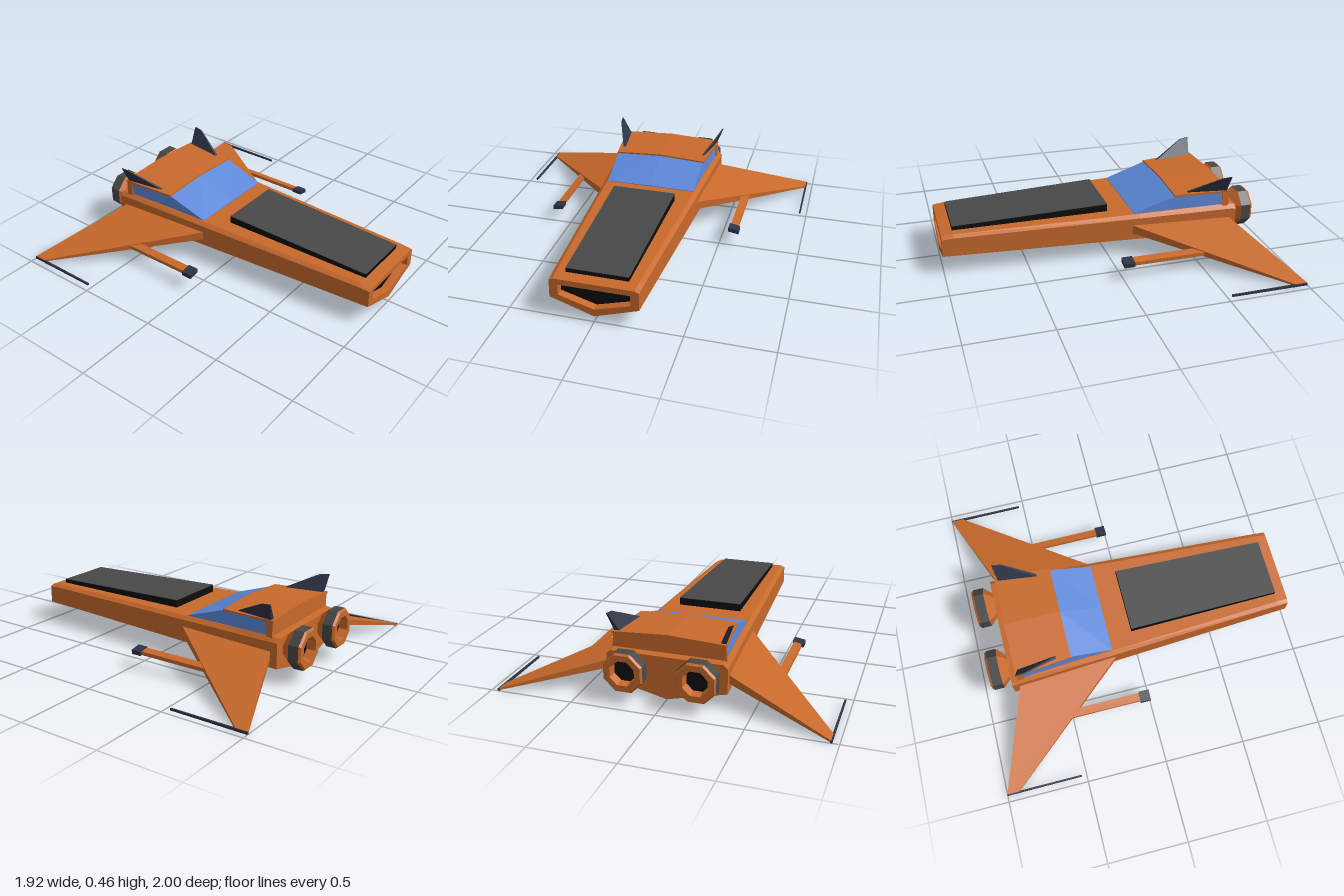
import * as THREE from 'three';

const mat = (name, color, side = THREE.FrontSide) => {
  const m = new THREE.MeshStandardMaterial({ color, side });
  m.name = name;
  return m;
};

export function createModel() {
  const orange = mat('orange paint', 0xc8692b);
  const grey = mat('dark grey', 0x484848);
  const black = mat('black', 0x0d0d0d);
  const blue = mat('blue glass', 0x5b87d8);
  const navy = mat('navy metal', 0x2e3446);

  const model = new THREE.Group();
  model.name = 'spaceship';

  const add = (name, geometry, material, parent = model) => {
    const mesh = new THREE.Mesh(geometry, material);
    mesh.name = name;
    parent.add(mesh);
    return mesh;
  };

  // flat-shaded geometry from a list of triangles
  const fromTris = (tris) => {
    const g = new THREE.BufferGeometry();
    g.setAttribute('position', new THREE.Float32BufferAttribute(tris.flat(2), 3));
    g.computeVertexNormals();
    return g;
  };
  // skin between rings of points
  const skin = (rings, closed) => {
    const tris = [];
    for (let i = 0; i < rings.length - 1; i++) {
      const p = rings[i], q = rings[i + 1], n = p.length;
      for (let j = 0; j < (closed ? n : n - 1); j++) {
        const k = (j + 1) % n;
        tris.push([p[j], p[k], q[k]], [p[j], q[k], q[j]]);
      }
    }
    return tris;
  };
  const fan = (ring) => ring.slice(2).map((p, i) => [ring[0], ring[i + 1], p]);
  // closed solid through rings, turned outward by its signed volume
  const solid = (rings) => {
    const tris = [...skin(rings, true), ...fan(rings[0]).map((t) => [t[2], t[1], t[0]]), ...fan(rings.at(-1))];
    const o = new THREE.Vector3(...rings[0][0]);
    let volume = 0;
    for (const t of tris) {
      const [a, b, c] = t.map((p) => new THREE.Vector3(...p).sub(o));
      volume += a.dot(b.cross(c));
    }
    return fromTris(volume < 0 ? tris.map((t) => [t[2], t[1], t[0]]) : tris);
  };
  const mirrorX = (rings, s) => rings.map((r) => r.map(([x, y, z]) => [x * s, y, z]));

  // hull: z, half width, keel y, side bottom y, shoulder y, deck y
  const stations = [
    [1, 0.255, 0.035, 0.12, 0.228, 0.24],
    [0.93, 0.259, 0.034, 0.119, 0.233, 0.248],
    [-0.2, 0.321, 0.016, 0.1, 0.238, 0.258],
    [-0.77, 0.353, 0.006, 0.091, 0.242, 0.268],
    [-0.815, 0.355, 0.005, 0.09, 0.24, 0.262],
  ];
  const upper = stations.map(([z, w, , b, s, t]) => [
    [-w, b, z], [-w, s, z], [-w + 0.025, t, z], [w - 0.025, t, z], [w, s, z], [w, b, z],
  ]);
  const lower = stations.map(([z, w, k, b]) => [[w, b, z], [0, k, z], [-w, b, z]]);
  add('hullBody', fromTris(skin(upper)), orange);
  add('hullKeel', fromTris(skin(lower)), grey);
  add('hullStern', fromTris(fan([...upper.at(-1), lower.at(-1)[1]])), orange);

  // nose frame with a recessed intake
  const outline = [...upper[0], lower[0][1]].map(([x, y]) => new THREE.Vector2(x, y));
  const mouth = [[-0.205, 0.14], [-0.205, 0.205], [0.205, 0.205], [0.205, 0.14], [0, 0.08]];
  const nose = new THREE.Shape(outline);
  nose.holes.push(new THREE.Path(mouth.map(([x, y]) => new THREE.Vector2(x, y))));
  add('noseFrame', new THREE.ShapeGeometry(nose).translate(0, 0, 1), orange);
  const mouthAt = (z) => mouth.map(([x, y]) => [x, y, z]);
  add('intakeWalls', fromTris(skin([mouthAt(0.95), mouthAt(1)], true)), orange);
  add('intakeBack', fromTris(fan(mouthAt(0.95).reverse())), black);

  // raised hood panel: black sides with a grey top plate
  const hoodAt = (z, w, lo, hi) => [[-w, lo, z], [-w, hi, z], [w, hi, z], [w, lo, z]];
  add('hoodPanel', solid([hoodAt(0.93, 0.18, 0.23, 0.272), hoodAt(-0.02, 0.2, 0.23, 0.302)]), black);
  add('hoodTop', solid([hoodAt(0.93, 0.18, 0.272, 0.275), hoodAt(-0.02, 0.2, 0.302, 0.305)]), grey);

  // cabin glass, rear pillar and ridged roof
  const cabinAt = (z, w, wTop, edge, ridge) => [
    [-w, 0.25, z], [-wTop, edge, z], [0, ridge, z], [wTop, edge, z], [w, 0.25, z],
  ];
  add('cabinGlass', solid([
    cabinAt(-0.165, 0.288, 0.288, 0.26, 0.262),
    cabinAt(-0.425, 0.302, 0.295, 0.345, 0.36),
    cabinAt(-0.735, 0.328, 0.32, 0.352, 0.37),
  ]), blue);
  add('cabinRear', solid([
    cabinAt(-0.73, 0.333, 0.326, 0.352, 0.37),
    cabinAt(-0.77, 0.337, 0.33, 0.353, 0.371),
  ]), orange);
  const roofAt = (z, w, edge, ridge) => [
    [-w, edge - 0.012, z], [-w, edge, z], [0, ridge, z], [w, edge, z], [w, edge - 0.012, z], [0, ridge - 0.012, z],
  ];
  add('roof', solid([roofAt(-0.425, 0.3, 0.354, 0.37), roofAt(-0.775, 0.335, 0.36, 0.378)]), orange);

  for (const s of [1, -1]) {
    const side = new THREE.Group();
    side.name = s > 0 ? 'leftSide' : 'rightSide';
    model.add(side);
    const part = (name, rings, material) => add(name, solid(mirrorX(rings, s)), material, side);

    // swept wing drooping to its tip
    part('wing', [
      [[0.3, 0.2, -0.127], [0.3, 0.2, -0.752], [0.3, 0.145, -0.752], [0.3, 0.145, -0.127]],
      [[0.955, 0.015, -0.925], [0.955, 0.015, -1], [0.955, 0.004, -1], [0.955, 0.004, -0.925]],
    ], orange);

    // wing gun with muzzle block, both tilted with the wing
    const boxAt = (z, x, y, w, h, tilt) => [
      [x - w, y - h + tilt, z], [x - w, y + h + tilt, z], [x + w, y + h - tilt, z], [x + w, y - h - tilt, z],
    ];
    part('gunBarrel', [boxAt(-0.54, 0.585, 0.102, 0.024, 0.011, 0.005), boxAt(-0.05, 0.585, 0.102, 0.024, 0.011, 0.005)], orange);
    part('gunMuzzle', [boxAt(-0.065, 0.587, 0.102, 0.033, 0.013, 0.006), boxAt(0, 0.587, 0.102, 0.033, 0.013, 0.006)], navy);

    // slim wingtip rod
    part('wingtipRod', [boxAt(-1, 0.956, 0.007, 0.006, 0.007, 0), boxAt(-0.53, 0.956, 0.007, 0.005, 0.006, 0)], navy);

    // roof fin leaning outward
    part('fin', [
      [[0.262, 0.35, -0.5], [0.28, 0.35, -0.5], [0.325, 0.35, -0.755], [0.29, 0.35, -0.755]],
      [[0.353, 0.455, -0.71], [0.36, 0.455, -0.71], [0.367, 0.462, -0.77], [0.36, 0.462, -0.77]],
    ], navy);

    // octagonal engine: orange bell, grey band, hollow orange rim
    const engine = new THREE.Group();
    engine.name = 'engine';
    engine.position.set(0.21 * s, 0.19, 0);
    side.add(engine);
    const octAt = ([r, z]) => Array.from({ length: 8 }, (_, i) => {
      const a = -(i + 0.5) * Math.PI / 4;
      return [r * Math.cos(a), r * Math.sin(a), z];
    });
    const turned = (name, profile, material) => add(name, fromTris(skin(profile.map(octAt), true)), material, engine);
    turned('engineBell', [[0.08, -0.8], [0.08, -0.82], [0.125, -0.868]], orange);
    turned('engineBand', [[0.125, -0.868], [0.125, -0.93]], grey);
    turned('engineRim', [[0.125, -0.93], [0.115, -0.943], [0.078, -0.943], [0.07, -0.89]], orange);
    add('engineNozzle', fromTris(fan(octAt([0.072, -0.89]))), black, engine);
  }
  return model;
}
